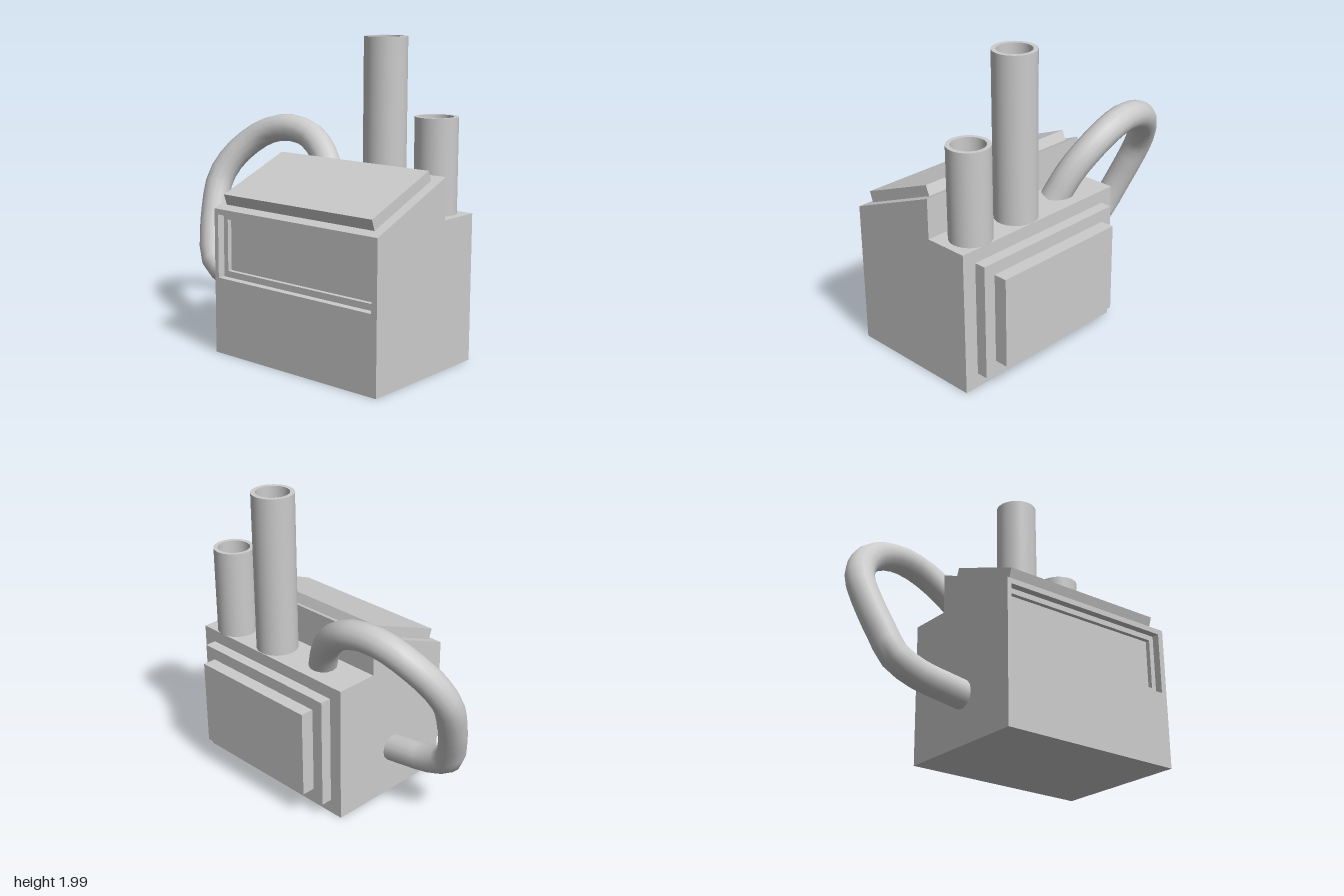
import * as THREE from 'three';

const grey = new THREE.MeshStandardMaterial({ color: 0xcccccc });
const greyOpen = new THREE.MeshStandardMaterial({ color: 0xcccccc, side: THREE.DoubleSide });

// Side profile given as [z, y] points, swept along x from x0 to x1
function sideExtrude(points, x0, x1) {
  const shape = new THREE.Shape(points.map(([z, y]) => new THREE.Vector2(-z, y)));
  const geo = new THREE.ExtrudeGeometry(shape, { depth: x1 - x0, bevelEnabled: false });
  return geo.rotateY(Math.PI / 2).translate(x0, 0, 0);
}

function rect(Type, x0, x1, y0, y1) {
  return new Type([[x0, y0], [x1, y0], [x1, y1], [x0, y1]].map(([x, y]) => new THREE.Vector2(x, y)));
}

// Front slab with a rectangular window
function frame(hole, z0, z1) {
  const shape = rect(THREE.Shape, -0.29, 1, 0, 0.93);
  shape.holes.push(rect(THREE.Path, ...hole));
  return new THREE.ExtrudeGeometry(shape, { depth: z1 - z0, bevelEnabled: false }).translate(0, 0, z0);
}

function box(x0, x1, y0, y1, z0, z1) {
  return new THREE.BoxGeometry(x1 - x0, y1 - y0, z1 - z0)
    .translate((x0 + x1) / 2, (y0 + y1) / 2, (z0 + z1) / 2);
}

// Hollow stack; doubled rim points keep the edges sharp
function chimney(outer, inner, y0, y1) {
  const walls = [[outer, y0], [outer, y1], [outer, y1], [inner, y1], [inner, y1], [inner, y0]];
  return new THREE.LatheGeometry(walls.map(([r, y]) => new THREE.Vector2(r, y)), 32);
}

export function createModel() {
  const model = new THREE.Group();
  const add = (name, geo, material = grey) => {
    const mesh = new THREE.Mesh(geo, material);
    mesh.name = name;
    model.add(mesh);
    return mesh;
  };

  // Building with sloping roof and a lower deck behind it
  add('building', sideExtrude([
    [0.47, 0], [0.47, 0.93], [0.55, 0.93], [-0.09, 1.19],
    [-0.09, 0.93], [-0.38, 0.93], [-0.38, 0],
  ], -0.29, 1));

  // Stepped window recess in the front wall
  add('frontWall', frame([-0.26, 0.96, 0.49, 0.895], 0.5, 0.55));
  add('windowLedge', frame([-0.225, 0.925, 0.53, 0.86], 0.47, 0.5));

  // Raised slab on the slope
  add('roofPanel', sideExtrude([
    [0.495, 0.95], [0.52, 1.02], [-0.01, 1.23], [-0.037, 1.165],
  ], -0.235, 0.935));

  // Two-step panel on the back wall
  add('backPanelLower', box(-0.2, 0.905, 0.095, 0.845, -0.455, -0.37));
  add('backPanelUpper', box(-0.12, 0.825, 0.18, 0.765, -0.545, -0.45));

  // Chimneys on the deck
  add('tallChimney', chimney(0.137, 0.108, 0.92, 1.99), greyOpen).position.set(0.43, 0, -0.24);
  add('shortChimney', chimney(0.133, 0.105, 0.92, 1.52), greyOpen).position.set(0.815, 0, -0.25);

  // Bent pipe from the side wall up and over to the deck
  const path = new THREE.CatmullRomCurve3([
    [-0.25, 0.315, 0.105], [-0.42, 0.34, 0.107], [-0.605, 0.37, 0.112], [-0.765, 0.45, 0.098],
    [-0.83, 0.6, 0.05], [-0.88, 0.78, -0.02], [-0.905, 0.97, -0.1],
    [-0.85, 1.12, -0.18], [-0.73, 1.25, -0.265], [-0.61, 1.315, -0.305],
    [-0.46, 1.34, -0.33], [-0.3, 1.31, -0.34], [-0.16, 1.22, -0.315],
    [-0.04, 1.08, -0.26], [0.05, 0.9, -0.2],
  ].map((p) => new THREE.Vector3(...p)));
  add('bentPipe', new THREE.TubeGeometry(path, 28, 0.092, 14), greyOpen);

  return model;
}
